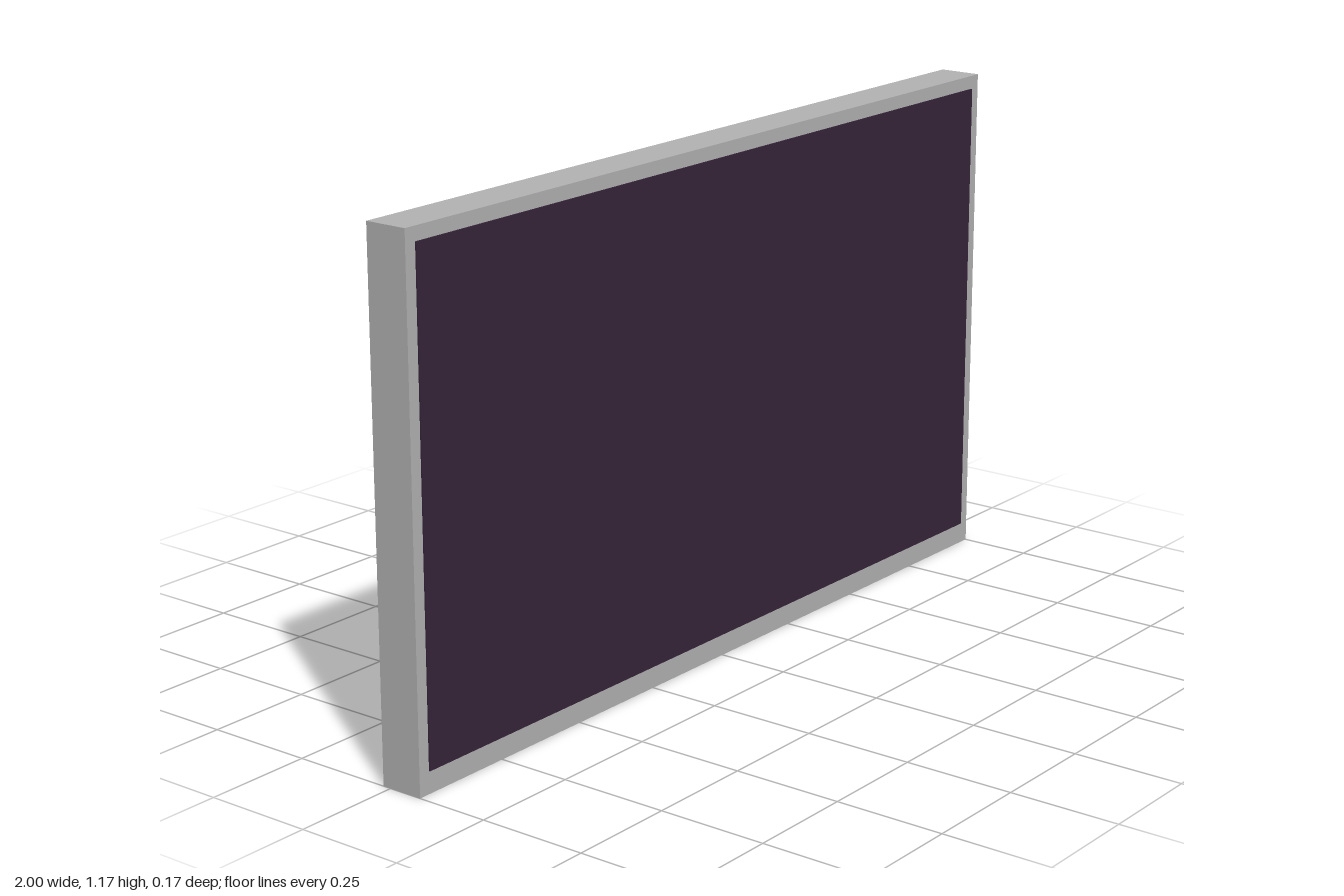
import * as THREE from 'three';

export function createModel() {
  const group = new THREE.Group();
  const grey = new THREE.MeshStandardMaterial({ color: 0xb3b3b3 });
  grey.name = 'casing grey';
  const dark = new THREE.MeshStandardMaterial({ color: 0x36243a });
  dark.name = 'dark plum';

  // Box from its minimum and maximum corners
  function box(name, material, [x0, y0, z0], [x1, y1, z1]) {
    const mesh = new THREE.Mesh(new THREE.BoxGeometry(x1 - x0, y1 - y0, z1 - z0), material);
    mesh.position.set((x0 + x1) / 2, (y0 + y1) / 2, (z0 + z1) / 2);
    mesh.name = name;
    group.add(mesh);
  }

  // Casing, screen and thin rear panel
  box('casing', grey, [-1, 0, -0.019], [1, 1.173, 0.081]);
  box('screen', dark, [-0.972, 0.05, 0.08], [0.972, 1.142, 0.084]);
  box('rearPanel', grey, [-0.865, 0.097, -0.021], [0.865, 1.077, -0.018]);

  // Three upright slots on the back
  for (const x of [-0.13, 0, 0.13]) {
    box('rearSlot', dark, [x - 0.01, 0.6, -0.0235], [x + 0.01, 0.92, -0.02]);
  }

  // Wall mount: two spacer blocks holding a plate
  for (const x of [-0.284, 0.284]) {
    box('mountBlock', dark, [x - 0.052, 0.371, -0.078], [x + 0.052, 0.804, -0.02]);
  }
  box('mountPlate', grey, [-0.405, 0.344, -0.083], [0.405, 0.83, -0.076]);

  return group;
}
